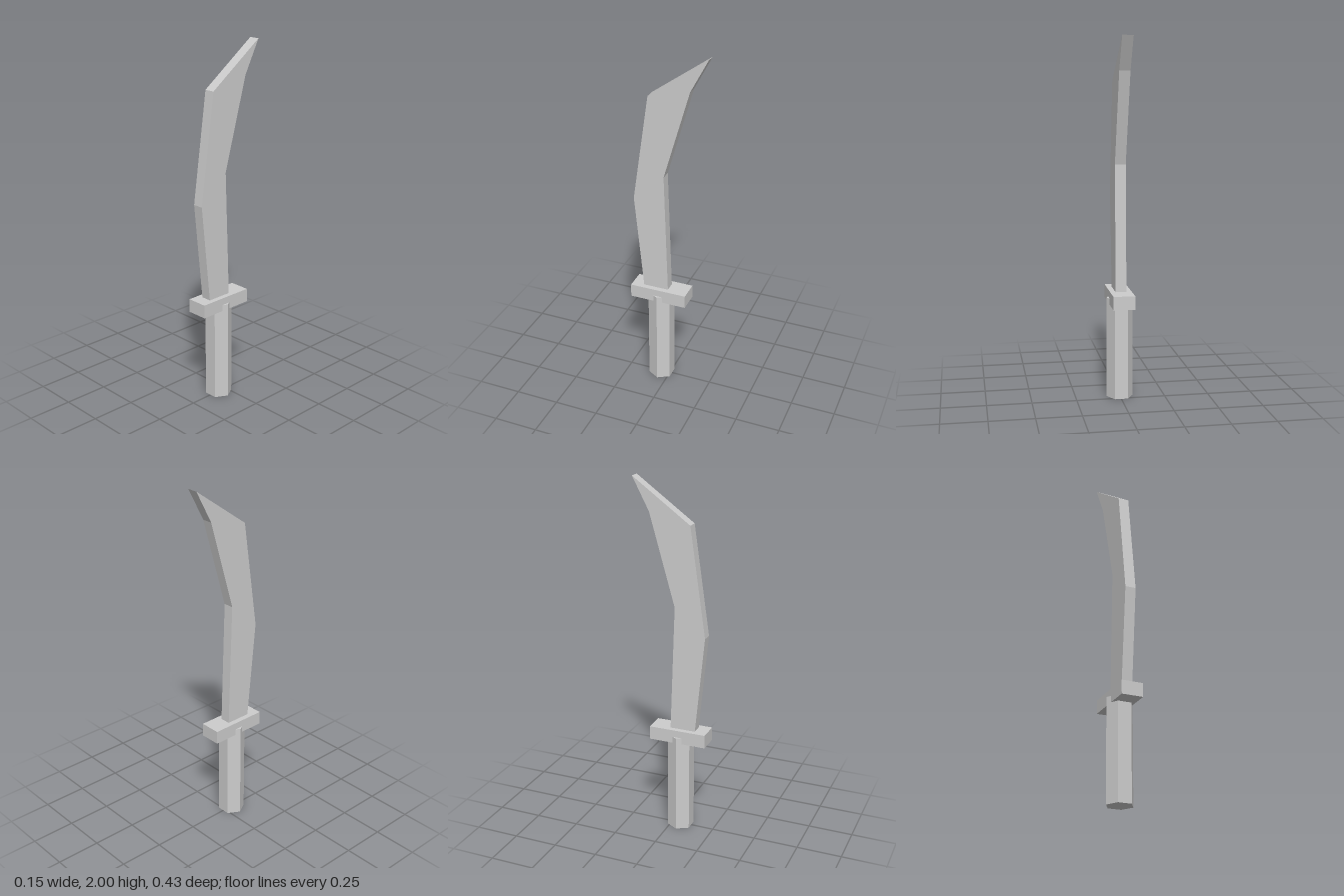
import * as THREE from 'three';

export function createModel() {
  const group = new THREE.Group();
  const steel = new THREE.MeshStandardMaterial({ color: 0xcccccc, flatShading: true });
  steel.name = 'plain grey';

  const add = (name, geometry, x = 0, y = 0, z = 0) => {
    const mesh = new THREE.Mesh(geometry, steel);
    mesh.name = name;
    mesh.position.set(x, y, z);
    group.add(mesh);
  };

  // Hexagonal grip with its corners pointing sideways
  add('handle', new THREE.CylinderGeometry(0.075, 0.075, 0.57, 6, 1, false, Math.PI / 6), 0, 0.285, 0.052);

  // Cross guard
  add('guard', new THREE.BoxGeometry(0.12, 0.076, 0.328), 0, 0.572, 0.051);

  // Curved blade: side outline as (z, y), extruded across x
  const outline = [
    [0, 0.58], [0.025, 1.315], [-0.12, 1.82], [-0.215, 2],
    [0.112, 1.765], [0.2, 1.16], [0.143, 0.58],
  ].map(([z, y]) => new THREE.Vector2(z, y));
  const blade = new THREE.ExtrudeGeometry(new THREE.Shape(outline), { depth: 0.06, bevelEnabled: false });
  blade.translate(0, 0, -0.03).rotateY(-Math.PI / 2);
  add('blade', blade);

  return group;
}
